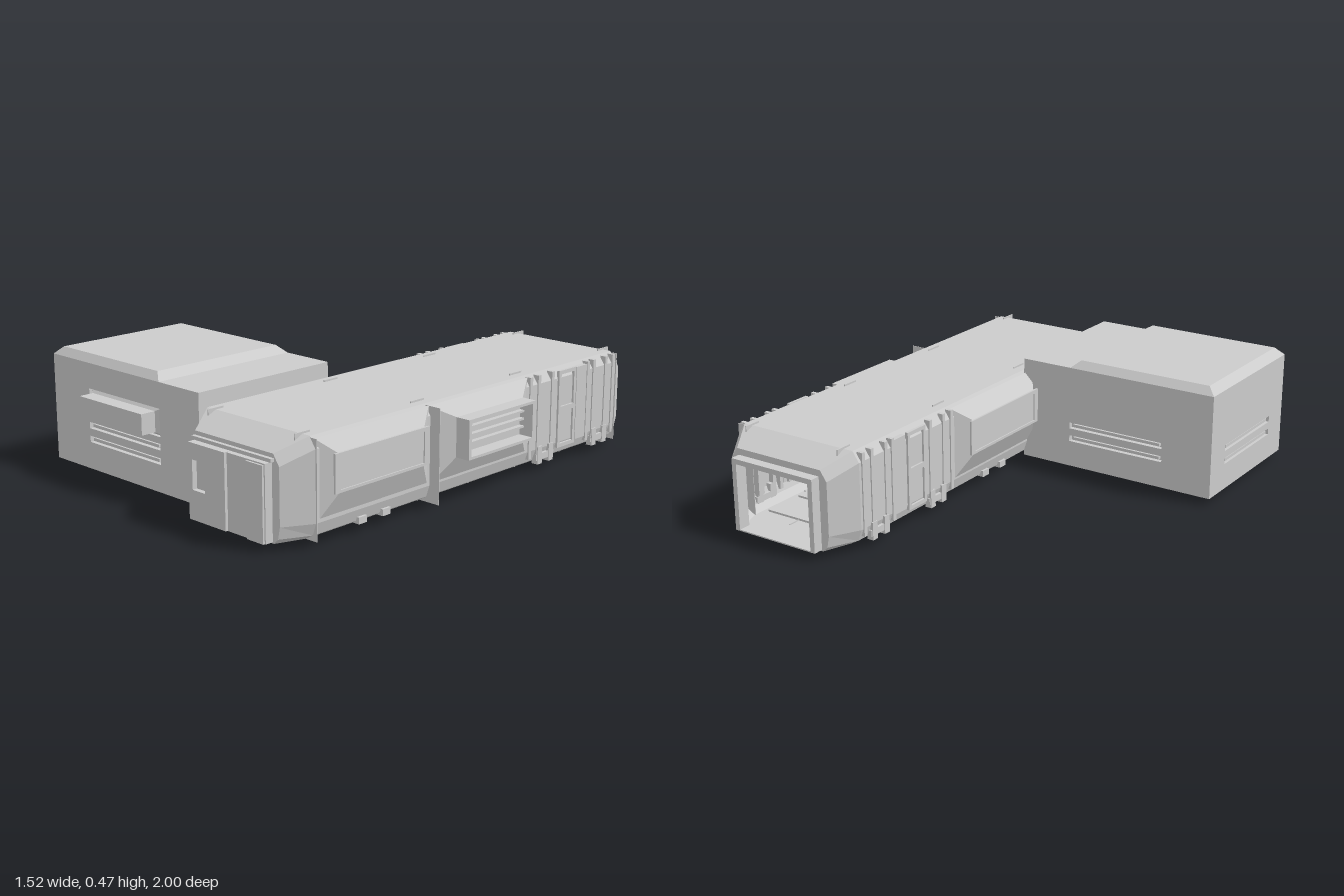
import * as THREE from 'three';

const CX = 0.37; // centre line of the long hall
const mat = new THREE.MeshStandardMaterial({ color: 0xcccccc, flatShading: true });
const matDouble = new THREE.MeshStandardMaterial({ color: 0xcccccc, flatShading: true, side: THREE.DoubleSide });

function add(parent, name, geo, m = mat) {
  const mesh = new THREE.Mesh(geo, m);
  mesh.name = name;
  parent.add(mesh);
  return mesh;
}

// Box given by its limits
function box(parent, name, x0, x1, y0, y1, z0, z1) {
  const g = new THREE.BoxGeometry(x1 - x0, y1 - y0, z1 - z0);
  g.translate((x0 + x1) / 2, (y0 + y1) / 2, (z0 + z1) / 2);
  return add(parent, name, g);
}

// Skin over counter-clockwise loops stacked along +z
function loft(loops, capStart, capEnd) {
  const pos = [];
  const tri = (...p) => p.forEach((v) => pos.push(...v));
  for (let k = 0; k + 1 < loops.length; k++) {
    const a = loops[k], b = loops[k + 1], n = a.length;
    for (let i = 0; i < n; i++) {
      const j = (i + 1) % n;
      tri(a[i], a[j], b[j]);
      tri(a[i], b[j], b[i]);
    }
  }
  const s = loops[0], e = loops[loops.length - 1];
  for (let i = 1; i + 1 < s.length; i++) {
    if (capStart) tri(s[0], s[i + 1], s[i]);
    if (capEnd) tri(e[0], e[i], e[i + 1]);
  }
  const g = new THREE.BufferGeometry();
  g.setAttribute('position', new THREE.Float32BufferAttribute(pos, 3));
  g.computeVertexNormals();
  return g;
}

const rect = (x0, x1, y0, y1, z) => [[x0, y0, z], [x1, y0, z], [x1, y1, z], [x0, y1, z]];

// Hall cross-section: rounded foot, straight wall, chamfered roof edge
function ring(w, top, chamfer, foot, z) {
  const half = [[w - foot, 0.025], [w - foot * 0.3, 0.045], [w, 0.09], [w, top - chamfer], [w - chamfer * 0.7, top]];
  const right = half.map(([x, y]) => [CX + x, y, z]);
  const left = half.map(([x, y]) => [CX - x, y, z]).reverse();
  return [...right, ...left];
}

// Plate with rectangular holes, extruded along +z
function plate(outline, holes, depth, z) {
  const shape = new THREE.Shape(outline.map((p) => new THREE.Vector2(p[0], p[1])));
  for (const [x0, x1, y0, y1] of holes) {
    shape.holes.push(new THREE.Path(rect(x0, x1, y0, y1, 0).reverse().map((p) => new THREE.Vector2(p[0], p[1]))));
  }
  const g = new THREE.ExtrudeGeometry(shape, { depth, bevelEnabled: false });
  g.translate(0, 0, z);
  return g;
}

// Group on a side wall: local x runs along the wall, local z points outwards
function onWall(parent, name, x, z, side) {
  const g = new THREE.Group();
  g.name = name;
  g.position.set(x, 0, z);
  g.rotation.y = side * Math.PI / 2;
  parent.add(g);
  return g;
}

function buildHall(root) {
  const hall = new THREE.Group();
  hall.name = 'hall';
  root.add(hall);
  const capBack = ring(0.225, 0.34, 0.04, 0.03, -0.96);
  add(hall, 'hallShell', loft([
    capBack, ring(0.285, 0.39, 0.04, 0.05, -0.85),
    ring(0.285, 0.39, 0.04, 0.05, 0.85), ring(0.225, 0.34, 0.04, 0.03, 0.96)], false, true), matDouble);

  // Open rear portal
  add(hall, 'rearWall', plate(capBack, [[0.2, 0.54, 0.035, 0.295]], 0.01, -0.96));
  add(hall, 'rearPortal', plate(rect(0.18, 0.56, 0.03, 0.315, 0), [[0.2, 0.54, 0.035, 0.295]], 0.04, -1));

  // Interior floor slats and wall ribs
  for (let i = 0; i < 10; i++) {
    const z = -0.8 + i * 0.17;
    box(hall, 'floorSlat', 0.16, 0.58, 0.026, 0.034, z, z + 0.05);
    for (const s of [-1, 1]) box(hall, 'innerRib', CX + s * 0.265 - 0.012, CX + s * 0.265 + 0.012, 0.08, 0.35, z, z + 0.03);
  }

  // Front door
  const door = new THREE.Group();
  door.name = 'frontDoor';
  hall.add(door);
  box(door, 'doorCore', 0.18, 0.56, 0.03, 0.31, 0.95, 0.98);
  add(door, 'doorLeafWithWindow', plate(rect(0.18, 0.368, 0.03, 0.31, 0), [[0.2, 0.265, 0.14, 0.25]], 0.02, 0.98));
  box(door, 'doorLeaf', 0.372, 0.56, 0.03, 0.31, 0.975, 0.992);
  box(door, 'doorPanel', 0.475, 0.555, 0.03, 0.305, 0.985, 1);
  box(door, 'doorLintel', 0.17, 0.57, 0.312, 0.325, 0.95, 0.975);

  // Keel strips below the floor
  for (const x of [0.31, 0.43]) box(hall, 'keelStrip', x - 0.001, x + 0.001, 0, 0.03, -0.85, 0.85);
  for (const z of [-0.57, -0.28, 0, 0.28, 0.57]) box(hall, 'floorSeam', 0.14, 0.6, 0.021, 0.03, z - 0.004, z + 0.004);

  // Roof clips and thin joint fins
  for (const z of [-0.85, -0.28, 0.28, 0.85]) {
    for (const x of [0.155, 0.59]) box(hall, 'roofClip', x - 0.002, x + 0.002, 0.33, 0.397, z - 0.035, z + 0.035);
  }
  for (const [z, x] of [[-0.85, 0.66], [0.28, 0.7], [0.85, 0.66]]) {
    box(hall, 'jointFin', 0.6, x, 0.025, 0.385, z - 0.001, z + 0.001);
  }
  return hall;
}

// Bulged bay with a framed face
function buildBay(parent, x, z, side, depth) {
  const bay = onWall(parent, 'sideBay', x, z, side);
  add(bay, 'bayBody', loft([rect(-0.285, 0.285, 0.08, 0.385, -0.01), rect(-0.21, 0.21, 0.19, 0.325, depth)], false, true));
  add(bay, 'bayFrame', plate(rect(-0.235, 0.235, 0.19, 0.33, 0), [[-0.21, 0.21, 0.2, 0.315]], 0.008, depth - 0.003));
  for (const s of [-1, 1]) box(bay, 'bayFoot', s * 0.06 - 0.02, s * 0.06 + 0.02, 0.035, 0.06, -0.03, 0.0);
}

// Bay with a projecting open window box
function buildWindowBay(parent) {
  const bay = onWall(parent, 'windowBay', 0.655, 0, 1);
  add(bay, 'windowBayBody', loft([rect(-0.285, 0.285, 0.08, 0.385, -0.01), rect(-0.19, 0.19, 0.185, 0.335, 0.045)], false, true));
  add(bay, 'windowBox', plate(rect(-0.19, 0.19, 0.185, 0.335, 0), [[-0.175, 0.175, 0.195, 0.325]], 0.06, 0.045));
  for (const y of [0.225, 0.255, 0.285]) box(bay, 'louver', -0.175, 0.175, y, y + 0.008, 0.04, 0.065);
}

// Ribbed wall with a tall two-pane window; dir keeps both sides mirrored
function buildRibbedWall(parent, x, side) {
  const wall = onWall(parent, 'ribbedWall', x, -0.565, side);
  const strip = (name, z0, z1, y0, y1, d) => {
    const a = -side * (z0 + 0.565), b = -side * (z1 + 0.565);
    return box(wall, name, Math.min(a, b), Math.max(a, b), y0, y1, -0.02, d);
  };
  for (const z of [-0.295, -0.345, -0.43, -0.66, -0.7, -0.78, -0.83]) strip('rib', z - 0.008, z + 0.008, 0.06, 0.385, 0.005);
  strip('doorPanel', -0.65, -0.585, 0.08, 0.375, 0.003);
  const c = side * 0.045;
  const x0 = -c - 0.0 + side * 0.0 - 0.055, x1 = x0 + 0.11;
  add(wall, 'tallWindowFrame', plate(rect(x0, x1, 0.07, 0.38, 0),
    [[x0 + 0.014, x1 - 0.014, 0.085, 0.215], [x0 + 0.014, x1 - 0.014, 0.235, 0.365]], 0.012, -0.004));
  // Foot brackets
  for (const z of [-0.39, -0.745]) {
    strip('bracket', z - 0.055, z + 0.055, 0.045, 0.07, 0.005);
    for (const s of [-1, 1]) strip('bracketLug', z + s * 0.035 - 0.014, z + s * 0.035 + 0.014, 0.03, 0.1, 0.008);
  }
}

function buildAnnex(root) {
  const annex = new THREE.Group();
  annex.name = 'annex';
  root.add(annex);
  const X0 = -0.76, X1 = 0.1, Z0 = 0.24, Z1 = 0.88, Y0 = 0.025, Y1 = 0.445, T = 0.02;
  box(annex, 'annexCore', X0 + T, X1, 0.045, Y1, Z0 + T, Z1 - T);
  const vents = (a, b) => [[a, b, 0.132, 0.157], [a, b, 0.187, 0.212]];

  // Front, rear and end walls with slotted vents
  add(annex, 'frontWall', plate(rect(X0, X1, Y0, Y1, 0), [...vents(-0.545, -0.12), [-0.54, -0.12, 0.238, 0.345]], T, Z1 - T));
  add(annex, 'rearWall', plate(rect(X0, X1, Y0, Y1, 0), vents(-0.545, -0.12), T, Z0));
  const end = onWall(annex, 'endWall', X0 + T, (Z0 + Z1) / 2, -1);
  add(end, 'endPanel', plate(rect(-0.32, 0.32, Y0, Y1, 0), vents(-0.2, 0.2), T, 0));
  for (const y of [0.1445, 0.1995]) {
    box(annex, 'frontVentBar', -0.53, -0.135, y - 0.006, y + 0.006, Z1 - T, Z1 - 0.005);
    box(annex, 'rearVentBar', -0.53, -0.135, y - 0.006, y + 0.006, Z0 + 0.005, Z0 + T);
    box(end, 'endVentBar', -0.185, 0.185, y - 0.006, y + 0.006, 0, T - 0.005);
  }

  // Projecting window unit in a bevelled recess
  add(annex, 'windowBevel', loft([rect(-0.54, -0.12, 0.238, 0.345, 0.864), rect(-0.52, -0.15, 0.25, 0.33, 0.878)], false, true));
  box(annex, 'windowUnit', -0.52, -0.15, 0.25, 0.33, 0.87, 0.94);

  // Chamfered roof and lower link roof
  const roof = add(annex, 'annexRoof', loft([rect(X0, -0.12, -Z1, -Z0, Y1), rect(-0.725, -0.155, -0.855, -0.27, 0.475)], false, true));
  roof.rotation.x = -Math.PI / 2;
  box(annex, 'linkRoof', X0 + 0.01, 0.09, Y1 - 0.01, Y1, Z0, Z1);

  // Underside rim around a sunken panel
  const rim = add(annex, 'undersideRim', plate(rect(X0 + T, X1, -Z1 + T, -Z0 - T, 0), [[-0.69, -0.1, -0.82, -0.3]], 0.02, 0.025));
  rim.rotation.x = -Math.PI / 2;
}

export function createModel() {
  const root = new THREE.Group();
  root.name = 'building';
  const hall = buildHall(root);
  buildBay(hall, 0.655, 0.565, 1, 0.036);
  buildBay(hall, 0.085, 0, -1, 0.05);
  buildWindowBay(hall);
  buildRibbedWall(hall, 0.655, 1);
  buildRibbedWall(hall, 0.085, -1);
  buildAnnex(root);
  return root;
}
